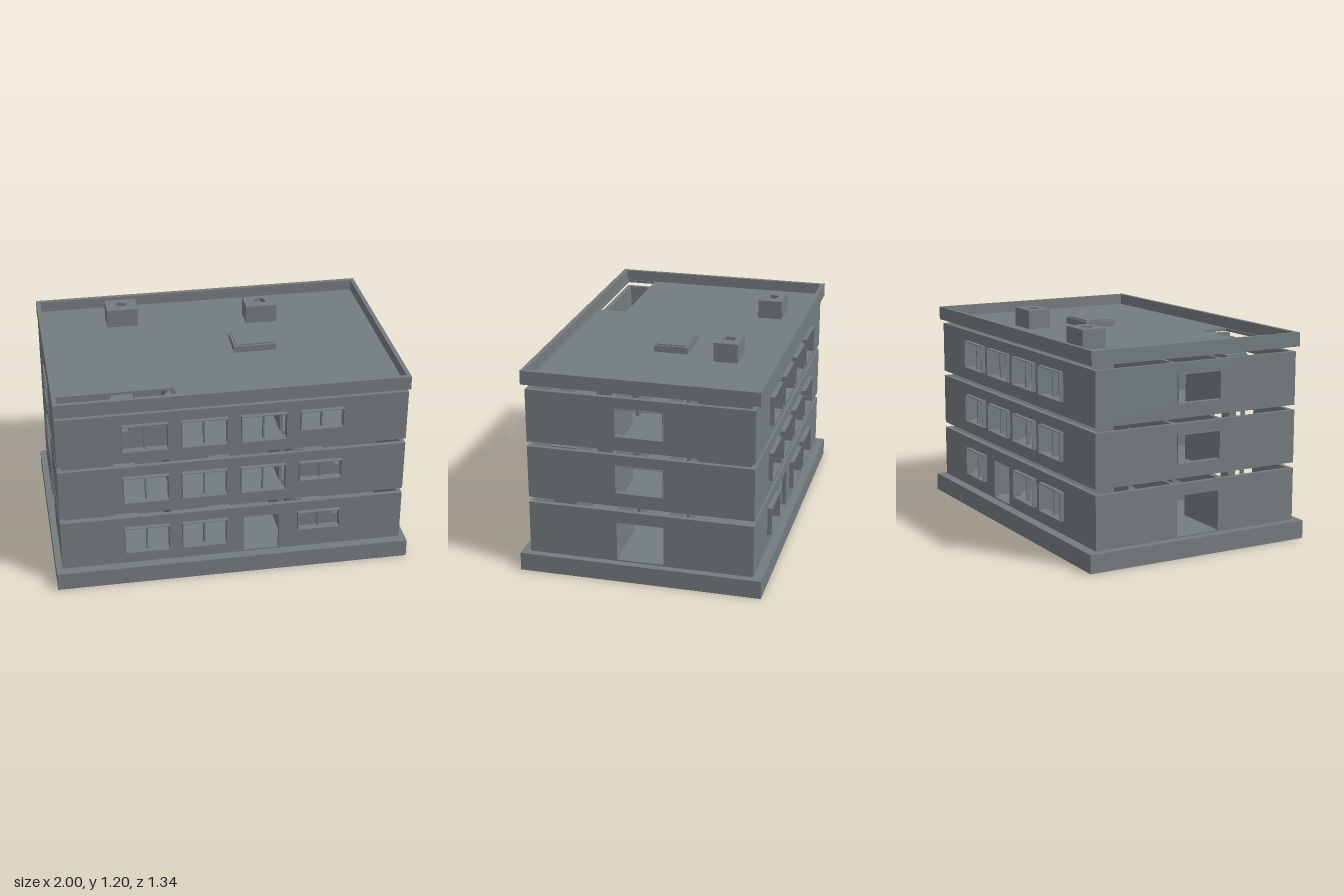
import * as THREE from 'three';

const concrete = new THREE.MeshStandardMaterial({ color: 0x747c7e });
concrete.name = 'grey concrete';

const add = (parent, name, geo, x = 0, y = 0, z = 0) => {
  const m = new THREE.Mesh(geo, concrete);
  m.name = name;
  m.position.set(x, y, z);
  parent.add(m);
  return m;
};

// Box given by its min and max corners
const box = (parent, name, x0, x1, y0, y1, z0, z1) =>
  add(parent, name, new THREE.BoxGeometry(x1 - x0, y1 - y0, z1 - z0),
    (x0 + x1) / 2, (y0 + y1) / 2, (z0 + z1) / 2);

const rect = (Type, [x0, x1, y0, y1]) => new Type([
  new THREE.Vector2(x0, y0), new THREE.Vector2(x1, y0),
  new THREE.Vector2(x1, y1), new THREE.Vector2(x0, y1)]);

// Rectangular plate in the xy plane with rectangular holes
const plate = (outer, holes, depth) => {
  const s = rect(THREE.Shape, outer);
  holes.forEach(h => s.holes.push(rect(THREE.Path, h)));
  return new THREE.ExtrudeGeometry(s, { depth, bevelEnabled: false });
};

// Horizontal plate: outer and holes are [x0, x1, z0, z1]
const slab = (parent, name, outer, holes, y, thick) => {
  const flip = ([a, b, c, d]) => [a, b, -d, -c];
  const g = plate(flip(outer), holes.map(flip), thick);
  g.rotateX(-Math.PI / 2);
  return add(parent, name, g, 0, y, 0);
};

const W = 0.965, D = 0.622, T = 0.025, H = 0.296, FLOOR = 0.008;
const SILL = 0.08, HEAD = 0.233;
const levels = [0.105, 0.432, 0.756];
const bays = [[-0.61, -0.365], [-0.287, -0.042], [0.04, 0.285], [0.367, 0.6]];

// Protruding window surround
const surround = (parent, [x0, x1, y0, y1], depth, mullion) => {
  const t = 0.004;
  add(parent, 'windowFrame', plate([x0 - t, x1 + t, y0 - t, y1 + t], [[x0, x1, y0, y1]], depth));
  if (mullion) {
    const c = (x0 + x1) / 2;
    box(parent, 'mullion', c - 0.004, c + 0.004, y0, y1, -T, 0);
  }
};

// Long facade whose outer face lies on its local z = 0
const facade = (name, ground, isFront) => {
  const g = new THREE.Group();
  g.name = name;
  const openings = bays.map(([a, b], i) => {
    if (ground && i === 2) return [0.06, 0.26, FLOOR, 0.23];
    return [a, b, isFront && i === 3 ? 0.125 : SILL, HEAD];
  }).map(([a, b, c, d]) => (isFront ? [a, b, c, d] : [-b, -a, c, d]));
  add(g, 'outerWall', plate([-W, W, 0, H], openings, T), 0, 0, -T);
  openings.forEach((o, i) => {
    if (!(ground && i === 2)) surround(g, o, 0.025, true);
  });
  return g;
};

// Short end wall with one central opening
const endWall = (ground) => {
  const g = new THREE.Group();
  g.name = 'endWall';
  const o = [-0.13, 0.13, ground ? FLOOR : SILL, ground ? 0.23 : HEAD];
  add(g, 'sideWall', plate([-D + T, D - T, 0, H], [o], T), 0, 0, -T);
  if (!ground) surround(g, o, 0.008, false);
  return g;
};

// Solid flight of steps climbing towards the centre; side is +1 or -1
const stairs = (parent, side, height) => {
  const n = 16, x0 = 0.32, x1 = 0.89, run = (x1 - x0) / n;
  for (let i = 0; i < n; i++) {
    const a = side * (x0 + i * run), b = side * (x0 + (i + 1) * run);
    box(parent, 'stairStep', Math.min(a, b), Math.max(a, b),
      FLOOR, height - i * (height - FLOOR) / n, 0.46, 0.602);
  }
};

const stairHole = side => (side > 0 ? [0.3, 0.94, 0.44, 0.61] : [-0.94, -0.3, 0.44, 0.61]);

const storey = (k) => {
  const g = new THREE.Group();
  g.name = 'storey' + (k + 1);
  const ground = k === 0, IW = W - T, ID = D - T;
  slab(g, 'floorSlab', [-IW, IW, -ID, ID],
    ground ? [] : [[0.3, 0.935, 0.44, 0.592]], 0, FLOOR);

  const front = facade('frontFacade', ground, true);
  front.position.z = D;
  const back = facade('backFacade', ground, false);
  back.position.z = -D;
  back.rotation.y = Math.PI;
  g.add(front, back);
  for (const s of [1, -1]) {
    const e = endWall(ground);
    e.position.x = s * W;
    e.rotation.y = s * Math.PI / 2;
    g.add(e);
    // Corridor wall with three doorways
    const doors = [[-0.62, -0.49], [-0.065, 0.062], [0.49, 0.62]]
      .map(([a, b]) => [a, b, FLOOR, 0.193]);
    add(g, 'corridorWall', plate([-IW, IW, FLOOR, H], doors, 0.02), 0, 0, s > 0 ? 0.135 : -0.155);
    // Room dividers either side of the corridor
    for (const x of [-0.325, 0.3]) {
      const z = s > 0 ? [0.155, 0.44] : [-ID, -0.155];
      box(g, 'roomDivider', x - 0.008, x + 0.008, FLOOR, H, z[0], z[1]);
    }
  }
  const next = k < 2 ? levels[k + 1] : 1.078;
  stairs(g, k < 2 ? 1 : -1, next - levels[k]);
  g.position.y = levels[k];
  return g;
};

// Vent housing with a small polygonal shaft in its top
const vent = (parent, x0, x1, z0, z1, sides, turn) => {
  const w = x1 - x0, d = z1 - z0, y0 = 1.093, y1 = 1.2;
  const s = rect(THREE.Shape, [-w / 2, w / 2, -d / 2, d / 2]);
  const hole = [];
  for (let i = 0; i < sides; i++) {
    const a = turn + i * Math.PI * 2 / sides;
    hole.push(new THREE.Vector2(0.04 * Math.cos(a), 0.04 * Math.sin(a)));
  }
  s.holes.push(new THREE.Path(hole));
  const top = new THREE.ExtrudeGeometry(s, { depth: 0.02, bevelEnabled: false });
  top.rotateX(-Math.PI / 2);
  add(parent, 'ventTop', top, (x0 + x1) / 2, y1 - 0.02, (z0 + z1) / 2);
  box(parent, 'ventHousing', x0, x1, y0, y1 - 0.02, z0, z1);
};

export function createModel() {
  const model = new THREE.Group();
  model.name = 'building';
  box(model, 'foundation', -1, 1, 0, 0.102, -0.672, 0.672);
  for (let k = 0; k < 3; k++) model.add(storey(k));

  // Roof slab, parapet and rooftop units
  const roof = new THREE.Group();
  roof.name = 'roof';
  slab(roof, 'roofSlab', [-0.945, 0.945, -0.62, 0.62], [stairHole(-1)], 1.078, 0.015);
  slab(roof, 'parapet', [-0.968, 0.968, -0.645, 0.645], [[-0.945, 0.945, -0.62, 0.62]], 1.078, 0.077);
  vent(roof, -0.575, -0.395, -0.485, -0.345, 4, 0.55);
  vent(roof, 0.23, 0.41, -0.4, -0.265, 5, 0);
  box(roof, 'hatchCurb', 0.095, 0.335, 1.093, 1.13, -0.1, 0.09);
  box(roof, 'hatchLid', 0.107, 0.323, 1.13, 1.137, -0.088, 0.078);
  model.add(roof);
  return model;
}
